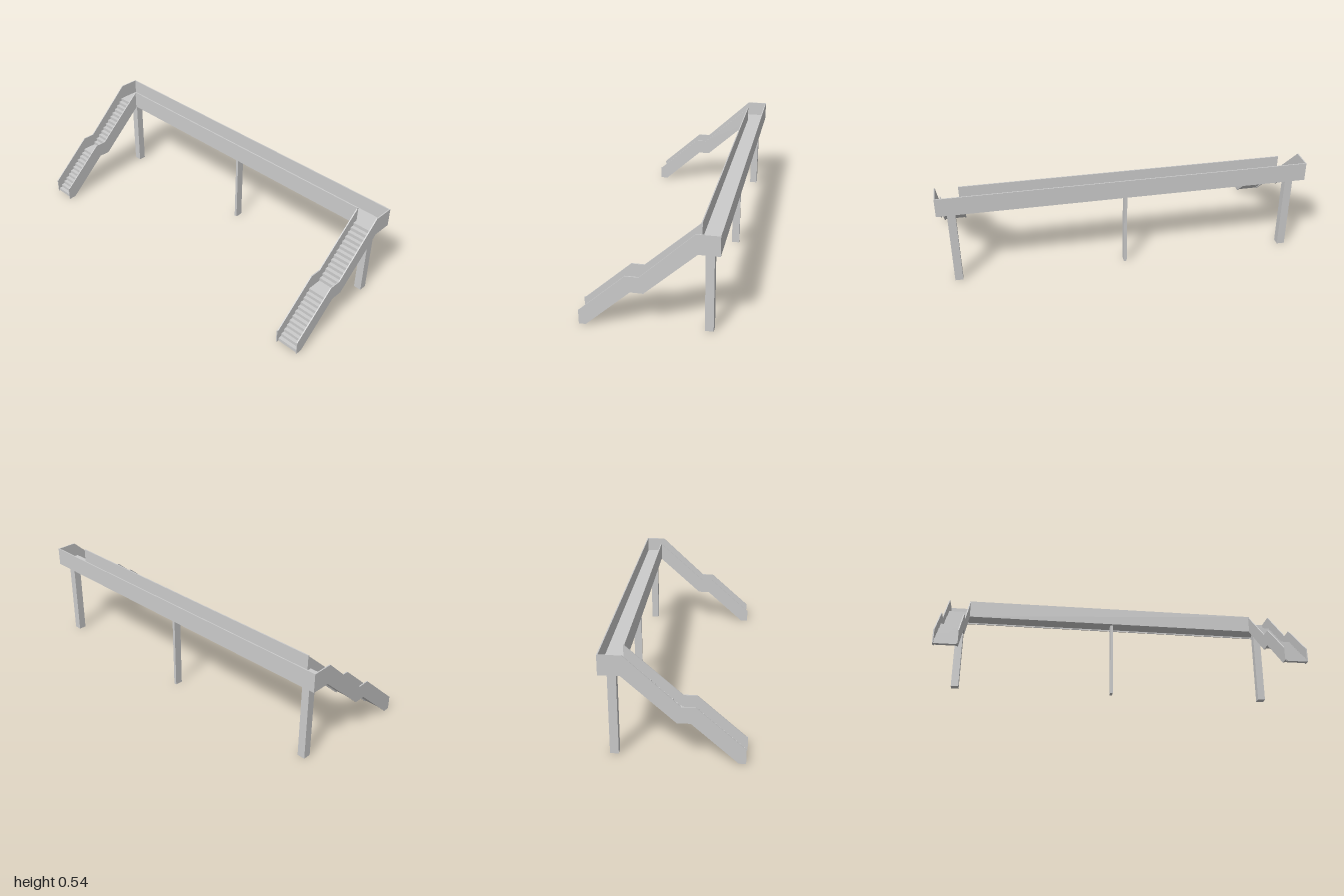
import * as THREE from 'three';

const material = new THREE.MeshStandardMaterial({ color: 0xcccccc, flatShading: true });

// Extrude a [z, y] outline along x, between x0 and x1
function sideExtrude(name, points, x0, x1) {
  const shape = new THREE.Shape(points.map(([z, y]) => new THREE.Vector2(z, y)));
  const geo = new THREE.ExtrudeGeometry(shape, { depth: x1 - x0, bevelEnabled: false });
  geo.rotateY(-Math.PI / 2);
  geo.translate(x1, 0, 0);
  const mesh = new THREE.Mesh(geo, material);
  mesh.name = name;
  return mesh;
}

function box(name, x0, x1, y0, y1, z0, z1) {
  const mesh = new THREE.Mesh(new THREE.BoxGeometry(x1 - x0, y1 - y0, z1 - z0), material);
  mesh.position.set((x0 + x1) / 2, (y0 + y1) / 2, (z0 + z1) / 2);
  mesh.name = name;
  return mesh;
}

// Stepped top edge of one flight, from its foot to its head
function steps(z0, y0, z1, y1, count) {
  const pts = [];
  for (let i = 0; i < count; i++) {
    const z = z0 + ((z1 - z0) * i) / count;
    pts.push([z, y0 + ((y1 - y0) * i) / count], [z, y0 + ((y1 - y0) * (i + 1)) / count]);
  }
  return pts;
}

const WALL = 0.006, DECK = 0.46, BOTTOM = 0.44, TOP = 0.543;

// Staircase on one side: side = 1 is the left, -1 the right
function staircase(side) {
  const group = new THREE.Group();
  group.name = side > 0 ? 'leftStaircase' : 'rightStaircase';
  const span = (a, b) => (side > 0 ? [a, b] : [-b, -a]);

  // Outer parapet runs on to close the end of the bridge
  group.add(sideExtrude('outerParapet', [
    [0.308, 0], [0.343, 0], [0.343, 0.075], [0.103, 0.29], [0.035, 0.29], [-0.235, TOP],
    [-0.35, TOP], [-0.35, BOTTOM], [-0.245, BOTTOM], [0.015, 0.205], [0.08, 0.205],
  ], ...span(1 - WALL, 1)));

  // Inner parapet stops at the bridge front wall
  group.add(sideExtrude('innerParapet', [
    [0.308, 0], [0.35, 0], [0.35, 0.075], [0.343, 0.075], [0.103, 0.29], [0.037, 0.29],
    [-0.245, TOP], [-0.245, BOTTOM], [0.015, 0.205], [0.08, 0.205],
  ], ...span(0.87, 0.87 + WALL)));

  // Two flights with a landing between, over a sloping soffit
  group.add(sideExtrude('stairFlights', [
    ...steps(0.337, 0, 0.095, 0.216, 12),
    ...steps(0.03, 0.216, -0.24, DECK, 13),
    [-0.25, DECK], [-0.25, 0.447], [-0.243, 0.447],
    [0.017, 0.212], [0.082, 0.212], [0.316, 0],
  ], ...span(0.87 + WALL, 1 - WALL)));
  return group;
}

export function createModel() {
  const model = new THREE.Group();
  model.name = 'footbridge';

  // Bridge span
  model.add(box('deck', -1 + WALL, 1 - WALL, 0.448, DECK, -0.35 + WALL, -0.24));
  model.add(box('backParapet', -1 + WALL, 1 - WALL, BOTTOM, TOP, -0.35, -0.35 + WALL));
  model.add(box('frontParapet', -0.876, 0.876, BOTTOM, TOP, -0.245, -0.239));

  // Columns: slim one mid-span, square ones at the ends
  for (const [x, w] of [[-0.925, 0.043], [0, 0.016], [0.925, 0.043]]) {
    model.add(box('column', x - w / 2, x + w / 2, 0, 0.45, -0.315, -0.272));
  }

  for (const side of [-1, 1]) model.add(staircase(side));
  return model;
}
